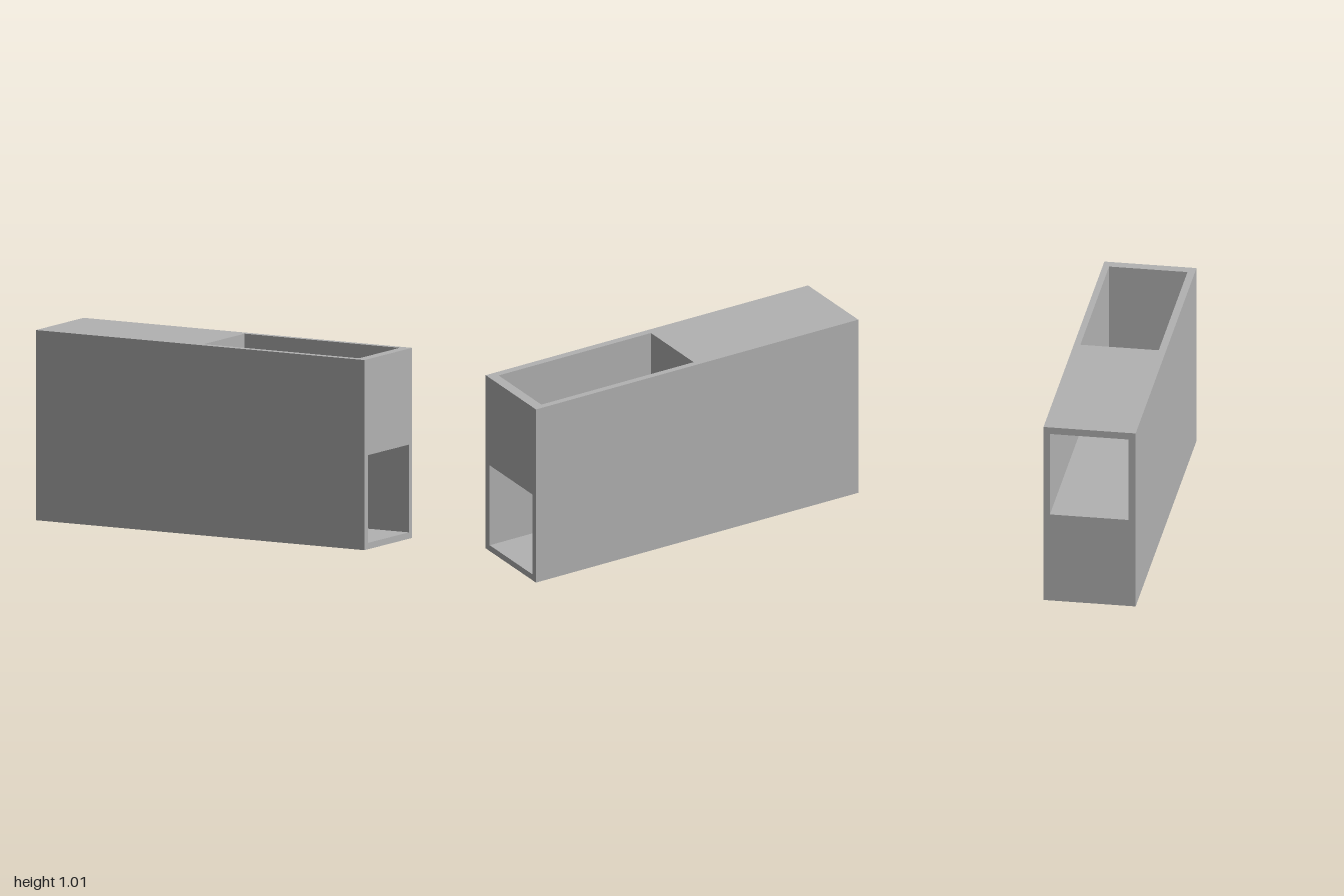
import * as THREE from 'three';

const HEIGHT = 1.006, HALF_DEPTH = 0.244;
const CAVITY_BACK = -0.21, CAVITY_FRONT = 0.205;

export function createModel() {
  const model = new THREE.Group();
  model.name = 'hollowBlock';
  const grey = new THREE.MeshStandardMaterial({ color: 0xb2b2b2 });
  grey.name = 'plain grey';

  // Core: lengthwise section with three pockets, opening right-hand end, top and left-hand end
  const section = new THREE.Shape([
    [-1, 0], [1, 0],
    [1, 0.034], [0.05, 0.034], [0.05, 0.498], [1, 0.498],
    [1, HEIGHT], [0.945, HEIGHT], [0.945, 0.535], [0, 0.535], [0, HEIGHT],
    [-1, HEIGHT], [-1, 0.968], [-0.05, 0.968], [-0.05, 0.5], [-1, 0.5],
  ].map(([x, y]) => new THREE.Vector2(x, y)));
  const core = new THREE.Mesh(
    new THREE.ExtrudeGeometry(section, { depth: CAVITY_FRONT - CAVITY_BACK, bevelEnabled: false }),
    grey,
  );
  core.name = 'pocketedCore';
  core.position.z = CAVITY_BACK;
  model.add(core);

  // Solid side plates closing the pockets at front and back
  const addPlate = (name, z0, z1) => {
    const plate = new THREE.Mesh(new THREE.BoxGeometry(2, HEIGHT, z1 - z0), grey);
    plate.name = name;
    plate.position.set(0, HEIGHT / 2, (z0 + z1) / 2);
    model.add(plate);
  };
  addPlate('frontPlate', CAVITY_FRONT, HALF_DEPTH);
  addPlate('backPlate', -HALF_DEPTH, CAVITY_BACK);

  return model;
}
